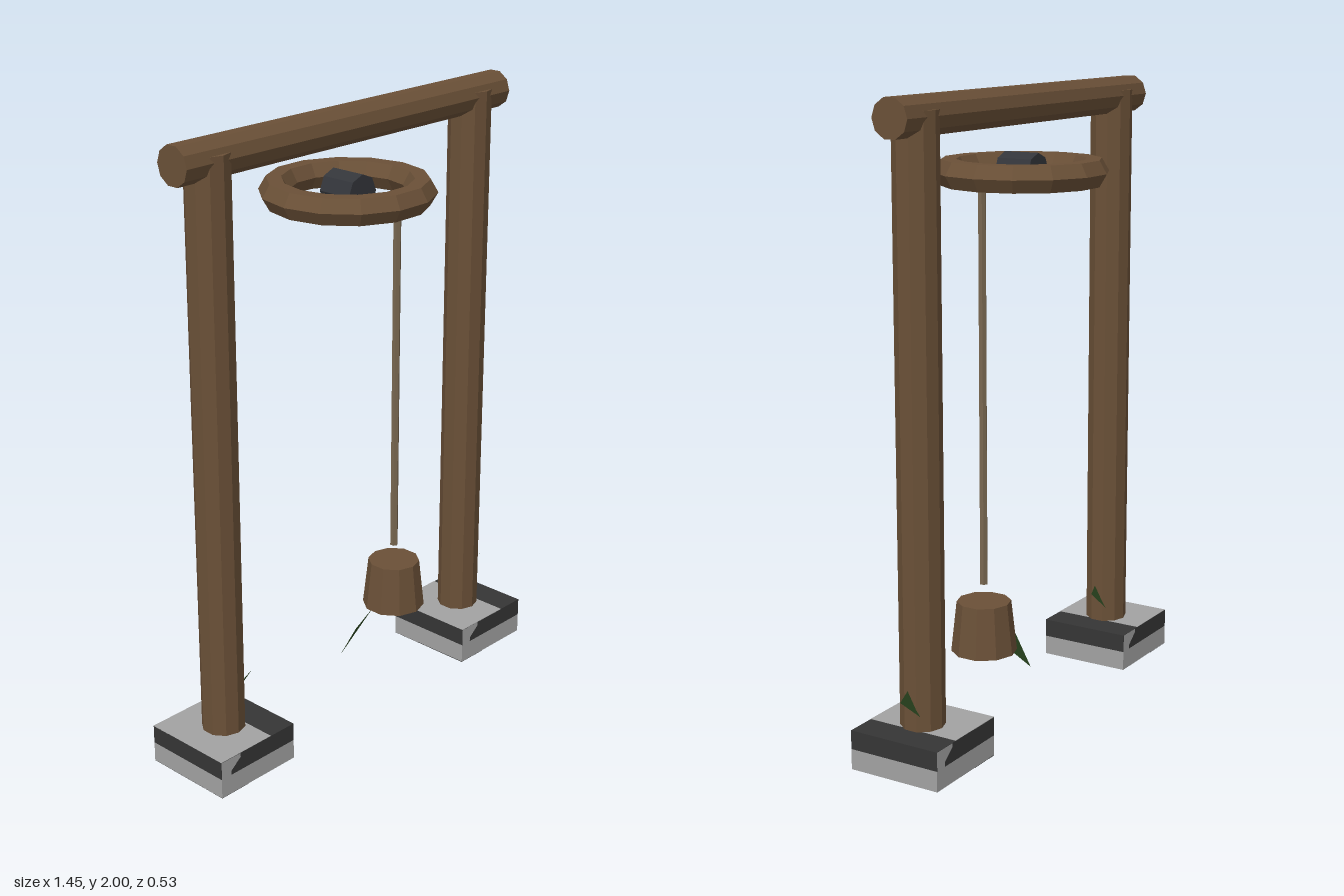
import * as THREE from 'three';

const mat = (name, color, extra = {}) => {
  const m = new THREE.MeshStandardMaterial({ color, flatShading: true, ...extra });
  m.name = name;
  return m;
};

export function createModel() {
  const root = new THREE.Group();
  root.name = 'wellFrame';
  const wood = mat('wood', 0x6a5037);
  const rope = mat('rope', 0x786750);
  const iron = mat('iron', 0x33353a);
  const stone = mat('lightStone', 0xa2a2a2);
  const darkStone = mat('darkStone', 0x353535);
  const leaf = mat('leaf', 0x2d4a22, { side: THREE.DoubleSide });

  const add = (name, geo, material, x, y, z, parent = root) => {
    const mesh = new THREE.Mesh(geo, material);
    mesh.name = name;
    mesh.position.set(x, y, z);
    parent.add(mesh);
    return mesh;
  };

  // Single-blade tuft of grass, rooted at the group origin
  const bladeGeo = new THREE.BufferGeometry();
  bladeGeo.setAttribute('position', new THREE.Float32BufferAttribute(
    [0, 0, -0.035, 0.152, 0.125, -0.025, 0, 0.125, 0.035], 3));
  bladeGeo.computeVertexNormals();

  // Pale broken corner on the dark course of each footing
  const chip = new THREE.Shape([
    [-0.155, 0.065], [-0.115, 0.065], [-0.115, 0.08], [-0.075, 0.112], [-0.075, 0.125], [-0.155, 0.125],
  ].map(([x, y]) => new THREE.Vector2(x, y)));
  const chipGeo = new THREE.ShapeGeometry(chip);

  // Posts with two-tone footings
  for (const [side, x] of [['right', -0.57], ['left', 0.568]]) {
    const g = new THREE.Group();
    g.name = side + 'Support';
    g.position.x = x;
    root.add(g);
    add('footingLower', new THREE.BoxGeometry(0.31, 0.065, 0.31), stone, 0, 0.0325, 0, g);
    add('footingUpper', new THREE.BoxGeometry(0.31, 0.06, 0.31), darkStone, 0, 0.095, 0, g);
    add('footingTop', new THREE.BoxGeometry(0.21, 0.002, 0.31), stone, -0.05, 0.125, 0, g);
    add('footingUnderside', new THREE.BoxGeometry(0.11, 0.002, 0.31), darkStone, -0.1, 0, 0, g);
    add('frontChip', chipGeo, stone, 0, 0, 0.156, g);
    add('backChip', chipGeo, stone, 0, 0, -0.156, g).rotation.y = Math.PI;
    add('post', new THREE.CylinderGeometry(0.069, 0.069, 1.94, 10), wood, 0, 0.99, 0, g);
    add('grassBlade', bladeGeo, leaf, 0, 0.125, 0, g);
  }
  add('middleGrassBlade', bladeGeo, leaf, 0, 0.125, 0);

  // Crossbeam
  add('crossbeam', new THREE.CylinderGeometry(0.0605, 0.0605, 1.39, 10), wood, -0.003, 1.942, 0)
    .rotation.z = Math.PI / 2;

  // Wheel lying flat, with its hub
  add('wheelRim', new THREE.TorusGeometry(0.226, 0.047, 6, 14), wood, 0, 1.738, 0)
    .rotation.x = Math.PI / 2;
  add('wheelHub', new THREE.CylinderGeometry(0.06, 0.06, 0.12, 8), iron, 0, 1.738, 0)
    .rotation.x = Math.PI / 2;

  // Rope and bucket
  add('rope', new THREE.CylinderGeometry(0.013, 0.013, 1.265, 6), rope, 0.226, 1.1025, 0);
  add('bucket', new THREE.CylinderGeometry(0.086, 0.104, 0.163, 10), wood, 0.226, 0.333, 0);

  return root;
}
